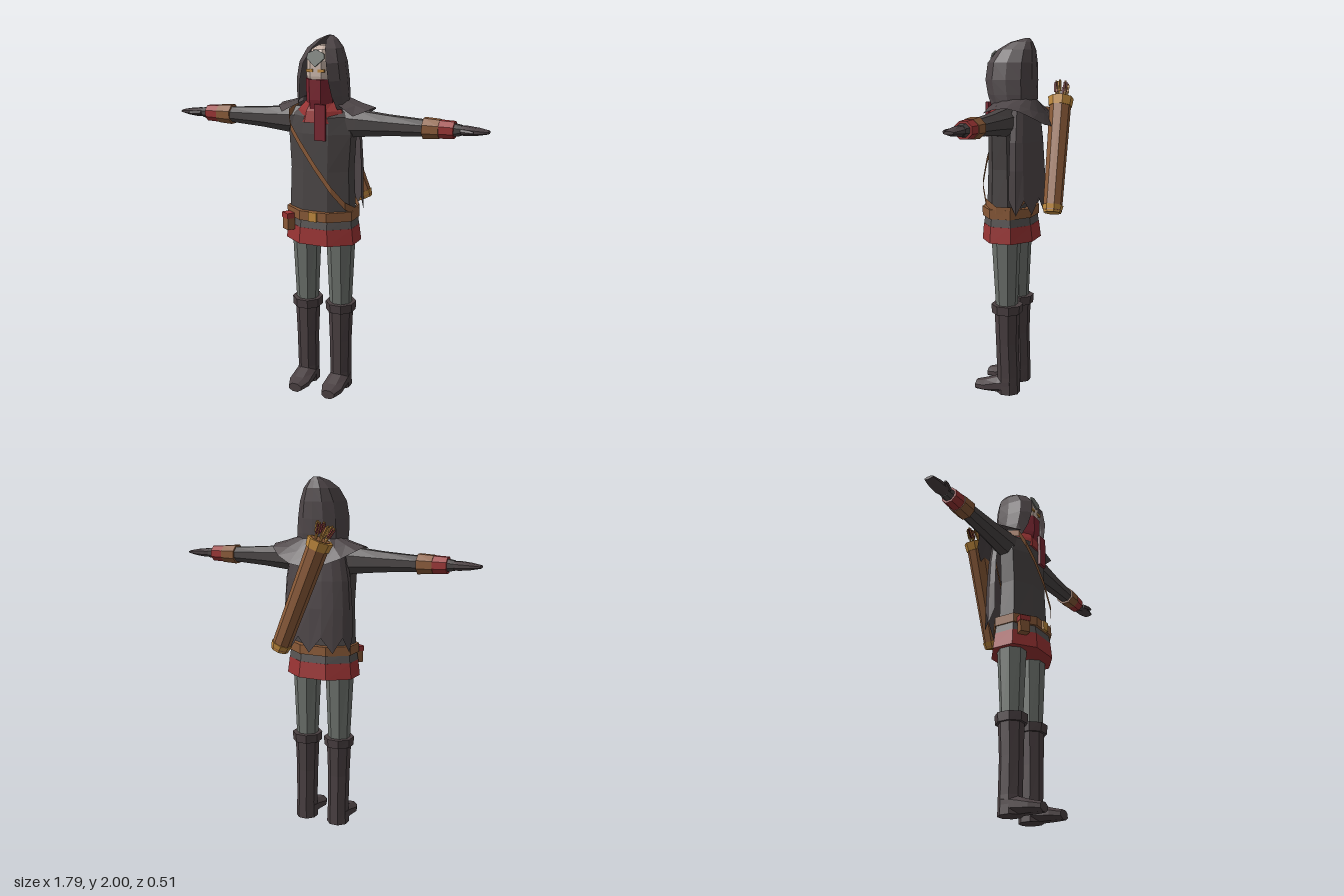
import * as THREE from 'three';

const mat = (name, color, side = THREE.FrontSide) => {
  const m = new THREE.MeshStandardMaterial({ color, side, flatShading: true });
  m.name = name;
  return m;
};

// Joins rows of points [x, y, z]; closed rows run around +y and may be capped.
function loft(rows, closed = true) {
  const pos = [], idx = [], n = rows[0].length;
  rows.forEach(r => r.forEach(p => pos.push(...p)));
  const cols = closed ? n : n - 1;
  for (let i = 0; i < rows.length - 1; i++) {
    for (let j = 0; j < cols; j++) {
      const k = (j + 1) % n, a = i * n + j, b = i * n + k, c = b + n, d = a + n;
      idx.push(a, d, b, b, d, c);
    }
  }
  if (closed) {
    [0, rows.length - 1].forEach((i, top) => {
      const mid = [0, 1, 2].map(c => rows[i].reduce((s, p) => s + p[c], 0) / n);
      const m = pos.length / 3;
      pos.push(...mid);
      for (let j = 0; j < n; j++) {
        const a = i * n + j, b = i * n + (j + 1) % n;
        if (top) idx.push(m, b, a); else idx.push(m, a, b);
      }
    });
  }
  const g = new THREE.BufferGeometry();
  g.setAttribute('position', new THREE.Float32BufferAttribute(pos, 3));
  g.setIndex(idx);
  const flat = g.toNonIndexed();
  flat.computeVertexNormals();
  return flat;
}

// Faceted body from sections [y, half width, half depth, centre x, centre z].
function body(sections, n = 8) {
  const k = 1 / Math.cos(Math.PI / n);
  return loft(sections.map(([y, rx, rz, cx = 0, cz = 0]) =>
    Array.from({ length: n }, (_, j) => {
      const t = (j + 0.5) / n * Math.PI * 2;
      return [cx + Math.cos(t) * rx * k, y, cz + Math.sin(t) * rz * k];
    })));
}

export function createModel() {
  const D = THREE.DoubleSide;
  const cloth = mat('dark cloth', 0x4a4545), cloak = mat('cloak cloth', 0x4e4648, D);
  const boots = mat('boot leather', 0x4a4042), trousers = mat('grey wool', 0x6c716c);
  const red = mat('red cloth', 0x9a3434), scarf = mat('scarf cloth', 0x7a2530);
  const leather = mat('brown leather', 0x8a5a38, D), gold = mat('gold', 0xc08a3e);
  const skin = mat('skin', 0xc8b4a8), skirt = mat('tunic grey', 0x575352);

  const model = new THREE.Group();
  const add = (name, geo, material, parent = model) => {
    const m = new THREE.Mesh(geo, material);
    m.name = name;
    parent.add(m);
    return m;
  };
  const box = (name, w, h, d, x, y, z, material) => {
    const m = add(name, new THREE.BoxGeometry(w, h, d), material);
    m.position.set(x, y, z);
    return m;
  };

  // Legs and boots
  for (const s of [1, -1]) {
    const leg = new THREE.Group();
    leg.name = s > 0 ? 'leftLeg' : 'rightLeg';
    leg.position.x = s * 0.103;
    model.add(leg);
    add('trouserLeg', body([[0.5, 0.058, 0.056, 0, 0.072], [0.95, 0.076, 0.078, 0, 0.074]]), trousers, leg);
    add('bootShaft', body([[0, 0.06, 0.063, 0, 0.065], [0.1, 0.056, 0.06, 0, 0.064],
      [0.3, 0.058, 0.06, 0, 0.07], [0.49, 0.065, 0.066, 0, 0.07]]), boots, leg);
    add('bootCuff', body([[0.48, 0.078, 0.08, 0, 0.07], [0.53, 0.08, 0.084, 0, 0.07]]), boots, leg);
    const foot = add('foot', body([[0.04, 0.058, 0.055, 0, -0.055], [0.12, 0.058, 0.046, 0, -0.046],
      [0.2, 0.06, 0.032, 0, -0.032], [0.258, 0.038, 0.025, 0, -0.025]]), boots, leg);
    foot.rotation.x = Math.PI / 2;
  }

  // Tunic, skirt and belt
  add('torso', body([[1.04, 0.178, 0.112, 0, 0.085], [1.3, 0.168, 0.102, 0, 0.087],
    [1.5, 0.18, 0.1, 0, 0.086], [1.59, 0.165, 0.095, 0, 0.083], [1.65, 0.09, 0.07, 0, 0.07]]), cloth);
  add('skirt', body([[0.985, 0.19, 0.137, 0, 0.077], [1.05, 0.182, 0.128, 0, 0.077]]), skirt);
  add('skirtHem', body([[0.895, 0.201, 0.147, 0, 0.075], [0.986, 0.191, 0.138, 0, 0.077]]), red);
  add('belt', body([[1.03, 0.192, 0.142, 0, 0.08], [1.082, 0.192, 0.142, 0, 0.08]]), leather);
  box('buckle', 0.048, 0.052, 0.012, 0, 1.056, 0.226, gold);
  box('pouch', 0.055, 0.09, 0.045, -0.162, 1.005, 0.185, leather).rotation.y = -0.6;
  box('pouchFlap', 0.06, 0.03, 0.052, -0.162, 1.04, 0.185, red).rotation.y = -0.6;

  // Arms: sleeve, bracer and hand
  for (const s of [1, -1]) {
    const arm = new THREE.Group();
    arm.name = s > 0 ? 'leftArm' : 'rightArm';
    arm.position.set(0, 1.555, 0.07);
    arm.rotation.z = -s * Math.PI / 2;
    model.add(arm);
    add('sleeve', body([[0.12, 0.078, 0.065], [0.2, 0.07, 0.062], [0.36, 0.054, 0.052],
      [0.58, 0.04, 0.044]]), cloth, arm);
    add('bracer', body([[0.56, 0.053, 0.054], [0.645, 0.048, 0.052]]), leather, arm);
    add('cuff', body([[0.64, 0.046, 0.048], [0.72, 0.043, 0.045]]), red, arm);
    add('wrist', body([[0.71, 0.034, 0.036], [0.755, 0.026, 0.03]]), cloth, arm);
    add('hand', body([[0.74, 0.022, 0.027], [0.78, 0.024, 0.038], [0.84, 0.018, 0.036],
      [0.893, 0.008, 0.026]]), boots, arm);
    add('thumb', body([[0.755, 0.012, 0.012, 0, 0.03], [0.8, 0.011, 0.011, 0, 0.046],
      [0.825, 0.006, 0.006, 0, 0.052]], 6), boots, arm);
  }

  // Head, mask and scarf
  add('head', body([[1.62, 0.055, 0.06, 0, 0.07], [1.74, 0.064, 0.088, 0, 0.08], [1.8, 0.078, 0.1, 0, 0.078],
    [1.88, 0.076, 0.1, 0, 0.076], [1.935, 0.054, 0.075, 0, 0.07], [1.955, 0.025, 0.04, 0, 0.06]]), skin);
  add('mask', body([[1.58, 0.072, 0.082, 0, 0.085], [1.68, 0.076, 0.098, 0, 0.088],
    [1.785, 0.08, 0.107, 0, 0.08]]), scarf);
  add('scarfCollar', body([[1.56, 0.145, 0.108, 0, 0.082], [1.62, 0.125, 0.1, 0, 0.08],
    [1.67, 0.08, 0.085, 0, 0.08]]), red);
  box('scarfTail', 0.062, 0.19, 0.016, 0.034, 1.565, 0.196, scarf);
  for (const s of [1, -1]) box('eye', 0.036, 0.014, 0.008, s * 0.033, 1.83, 0.178, gold);
  const brow = new THREE.Shape([[-0.045, 0.035], [-0.05, 0.01], [0, -0.035], [0.05, 0.01], [0.045, 0.035], [0, 0.055]]
    .map(p => new THREE.Vector2(...p)));
  const browMesh = add('browPlate', new THREE.ExtrudeGeometry(brow, { depth: 0.008, bevelEnabled: false }), trousers);
  browMesh.position.set(0, 1.882, 0.174);
  browMesh.rotation.x = -0.22;

  // Open hood: [y, half width, front gap, front z, back z], front edges slanting back at the crown
  const hoodRows = [[1.63, 0.14, 0.11, 0.15, -0.06], [1.7, 0.138, 0.092, 0.18, -0.066], [1.78, 0.133, 0.08, 0.198, -0.068],
    [1.87, 0.118, 0.064, 0.19, -0.067], [1.94, 0.088, 0.038, 0.14, -0.06], [1.98, 0.05, 0.016, 0.075, -0.045],
    [2.0, 0.016, 0.003, 0.0, -0.03]];
  add('hood', loft(hoodRows.map(([y, w, g, f, b]) => {
    const d = f - b;
    const half = [[g, f], [w * 0.93, f - d * 0.2], [w, b + d * 0.5], [w * 0.85, b + d * 0.2], [w * 0.45, b + d * 0.03]];
    return [...half.map(([x, z]) => [x, y, z]), [0, y, b], ...half.reverse().map(([x, z]) => [-x, y, z])];
  }), false), cloak);

  // Shoulder mantle, wrapping round the back; drops lowest behind
  const arc = (n, reach, fn) => Array.from({ length: n }, (_, j) => fn((j / (n - 1) * 2 - 1) * reach, j));
  const mantle = (w, back, front, y, drop, lift) => arc(13, 2.3, a => {
    const c = Math.cos(a);
    return [w * Math.sin(a), y - (c > 0 ? drop * c * c : lift * c * c), 0.02 - (c > 0 ? back : front) * c];
  });
  add('mantle', loft([mantle(0.275, 0.178, 0.22, 1.635, 0.105, 0.07), mantle(0.2, 0.13, 0.205, 1.655, 0.055, 0.045),
    mantle(0.12, 0.08, 0.17, 1.68, 0.0, 0.03)], false), cloak);

  // Back cape with a ragged hem
  const cape = (y, w, d, rag = 0) => arc(11, 1.75, (a, j) =>
    [w * Math.sin(a), y - (j % 2 ? rag : 0), 0.005 - d * Math.cos(a)]);
  add('cape', loft([cape(1.14, 0.205, 0.117, 0.085), cape(1.3, 0.203, 0.108), cape(1.45, 0.193, 0.098),
    cape(1.63, 0.16, 0.08)], false), cloak);

  // Quiver strap: a looped flat band
  const strap = [[-0.165, 1.6, 0.16], [-0.14, 1.53, 0.192], [-0.08, 1.45, 0.21], [0.01, 1.33, 0.22], [0.1, 1.21, 0.212],
    [0.165, 1.12, 0.17], [0.194, 1.08, 0.1], [0.19, 1.08, 0.02], [0.12, 1.14, -0.045], [0, 1.3, -0.045],
    [-0.14, 1.55, -0.03], [-0.15, 1.64, 0.06], [-0.165, 1.6, 0.16]];
  add('strap', loft([-0.02, 0.02].map(o => strap.map(([x, y, z]) => [x, y + o, z])), false), leather);

  // Quiver and arrows, leaning across the back
  const quiver = new THREE.Group();
  quiver.name = 'quiver';
  const foot = new THREE.Vector3(0.13, 1.085, -0.2), mouth = new THREE.Vector3(-0.105, 1.68, -0.178);
  const axis = mouth.clone().sub(foot), len = axis.length();
  quiver.position.copy(foot);
  quiver.quaternion.setFromUnitVectors(new THREE.Vector3(0, 1, 0), axis.normalize());
  model.add(quiver);
  add('quiverTube', body([[0, 0.048, 0.048], [len, 0.056, 0.056]]), leather, quiver);
  add('quiverBase', body([[-0.012, 0.044, 0.044], [0.03, 0.054, 0.054]]), gold, quiver);
  add('quiverRim', body([[len - 0.05, 0.06, 0.06], [len, 0.066, 0.066]]), gold, quiver);
  add('quiverMouth', body([[len, 0.05, 0.05], [len + 0.003, 0.05, 0.05]]), leather, quiver);
  for (let i = 0; i < 6; i++) {
    const t = i / 6 * Math.PI * 2;
    const arrow = new THREE.Group();
    arrow.name = 'arrow';
    arrow.position.set(Math.cos(t) * 0.03, len, Math.sin(t) * 0.03);
    arrow.rotation.z = -Math.cos(t) * 0.25;
    quiver.add(arrow);
    add('arrowShaft', body([[-0.05, 0.005, 0.005], [0.09, 0.005, 0.005]], 5), gold, arrow);
    const fletch = i % 2 ? scarf : gold;
    for (const r of [0, Math.PI / 2]) {
      const f = add('fletching', new THREE.BoxGeometry(0.022, 0.055, 0.004), fletch, arrow);
      f.position.y = 0.055;
      f.rotation.y = r;
    }
  }
  return model;
}
